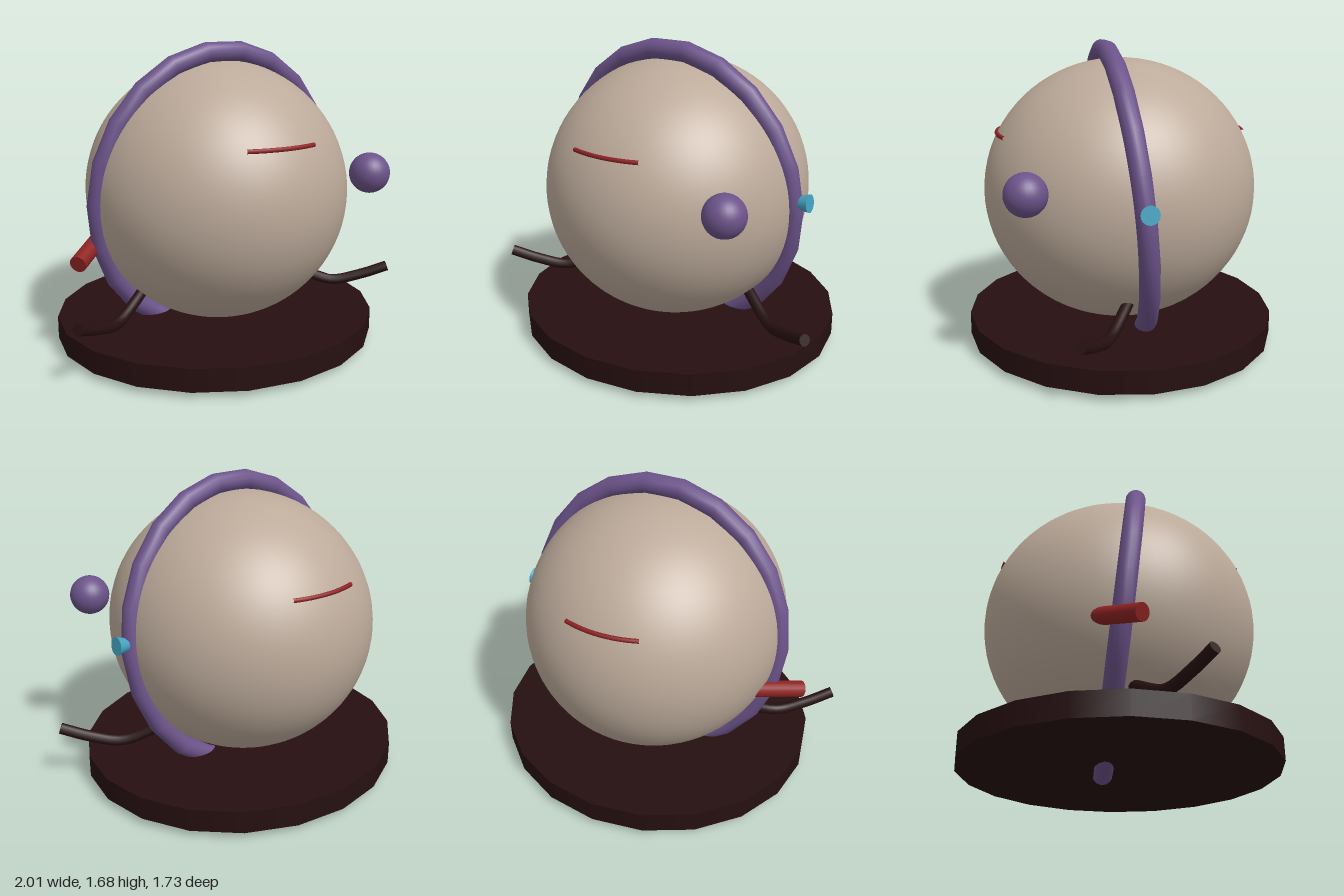
import * as THREE from 'three';

const mat = (name, color) => new THREE.MeshStandardMaterial({ name, color });

export function createModel() {
  const model = new THREE.Group();
  const beige = mat('beige', 0xbcaa9a);
  const purple = mat('purple', 0x6c538a);
  const brown = mat('dark brown', 0x260f10);
  const red = mat('red', 0x8e2323);
  const cyan = mat('cyan', 0x45a4c3);

  const add = (name, geometry, material, x = 0, y = 0, z = 0) => {
    const mesh = new THREE.Mesh(geometry, material);
    mesh.name = name;
    mesh.position.set(x, y, z);
    model.add(mesh);
    return mesh;
  };

  // Cylinder or frustum running between two points
  const rod = (name, material, from, to, r0, r1, sides) => {
    const a = new THREE.Vector3(...from), b = new THREE.Vector3(...to);
    const dir = b.clone().sub(a);
    const mesh = add(name, new THREE.CylinderGeometry(r1, r0, dir.length(), sides), material);
    mesh.position.copy(a).add(b).multiplyScalar(0.5);
    mesh.quaternion.setFromUnitVectors(new THREE.Vector3(0, 1, 0), dir.normalize());
  };

  // Globe body
  const C = 0.866, RX = 0.727, RZ = 0.76;
  add('globe', new THREE.SphereGeometry(1, 64, 40), beige, 0, C, 0).scale.set(RX, RX, RZ);

  // Oval base disc
  add('base', new THREE.CylinderGeometry(1, 1, 0.125, 20), brown, 0, 0.1025, 0).scale.set(0.918, 1, 0.863);

  // Tilted oval ring: the circle is stretched before the tube is swept
  const ringGeo = new THREE.TorusGeometry(0.72, 0.055, 14, 22);
  const p = ringGeo.attributes.position;
  for (let i = 0; i < p.count; i++) {
    const r = Math.hypot(p.getX(i), p.getY(i));
    p.setY(i, p.getY(i) * (1 + 0.08 / r));
  }
  ringGeo.scale(1, 1, 1);
  add('ring', ringGeo, purple, 0, 0.846, 0).rotation.x = 0.107;

  // Small orbiting ball
  add('ball', new THREE.SphereGeometry(0.11, 28, 18), purple, 0.636, 0.99, 0.574);

  // Flared knob on the left, peg on the right
  rod('knob', cyan, [0.69, 0.893, 0], [0.812, 0.906, 0], 0.02, 0.049, 20);
  rod('peg', red, [-0.64, 0.645, -0.14], [-0.86, 0.565, 0.06], 0.046, 0.046, 20);

  // Bent arms with closed tips
  for (const s of [1, -1]) {
    const path = new THREE.CatmullRomCurve3([
      [0.42, 0.39, 0], [0.52, 0.33, 0.065], [0.7, 0.248, 0.18], [0.85, 0.282, 0.275], [0.985, 0.34, 0.365],
    ].map(([x, y, z]) => new THREE.Vector3(s * x, y, z)));
    add('arm', new THREE.TubeGeometry(path, 16, 0.031, 10), brown);
    const tip = add('armTip', new THREE.CircleGeometry(0.031, 10), brown);
    tip.position.copy(path.getPoint(1));
    tip.quaternion.setFromUnitVectors(new THREE.Vector3(0, 0, 1), path.getTangent(1));
  }

  // Thin curved slits lying on the globe, front and back
  for (const s of [1, -1]) {
    const pts = [];
    for (let i = -4; i <= 4; i++) {
      const x = i * 0.05, y = 1.193;
      const z = RZ * Math.sqrt(1 - (x / RX) ** 2 - ((y - C) / RX) ** 2);
      pts.push(new THREE.Vector3(s * x, y, s * (z + 0.002)));
    }
    add(s > 0 ? 'frontSlit' : 'backSlit',
      new THREE.TubeGeometry(new THREE.CatmullRomCurve3(pts), 20, 0.012, 8), red);
  }
  return model;
}
